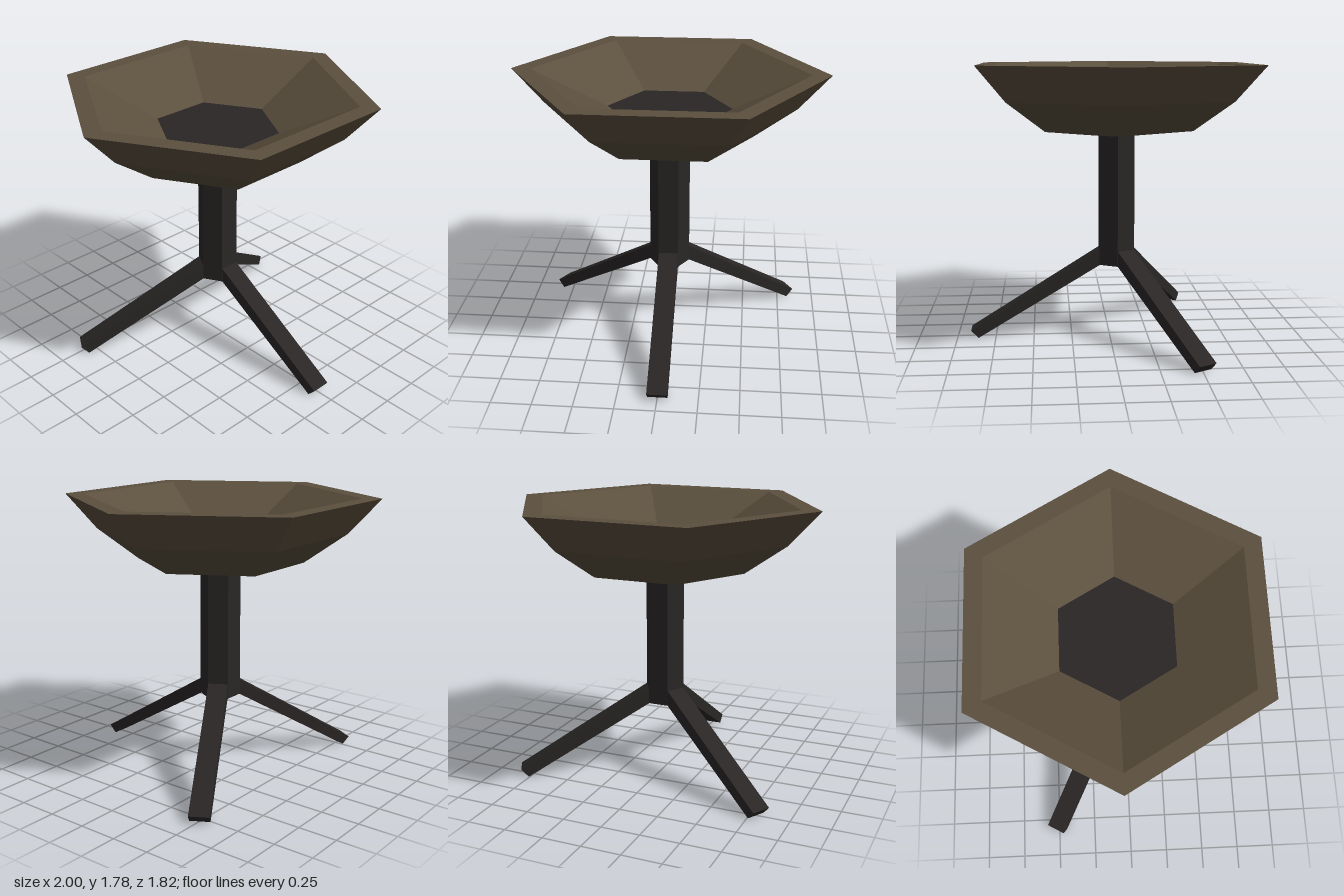
import * as THREE from 'three';

const brown = new THREE.MeshStandardMaterial({ color: 0x5c503e, flatShading: true });
const dark = new THREE.MeshStandardMaterial({ color: 0x2a2626, flatShading: true });

// Six-sided solid of revolution with corners on +x and -x, profile as [radius, height]
function hexLathe(name, profile, material) {
  const points = profile.map(([r, y]) => new THREE.Vector2(r, y));
  const geometry = new THREE.LatheGeometry(points, 6, Math.PI / 2).toNonIndexed();
  geometry.computeVertexNormals();
  const mesh = new THREE.Mesh(geometry, material);
  mesh.name = name;
  return mesh;
}

export function createModel() {
  const model = new THREE.Group();
  model.name = 'fireBowlOnTripod';

  // Bowl: faceted outside, flat lip, sloping inner wall
  model.add(hexLathe('bowl', [
    [0, 1.325], [0.13, 1.325], [0.53, 1.37], [0.8, 1.56],
    [1, 1.78], [0.877, 1.78], [0.395, 1.55],
  ], brown));

  // Dark floor inside the bowl
  const floor = new THREE.Mesh(new THREE.CircleGeometry(0.395, 6), dark);
  floor.name = 'bowlFloor';
  floor.rotation.x = -Math.PI / 2;
  floor.position.y = 1.55;
  model.add(floor);

  // Central post
  model.add(hexLathe('post', [[0, 0.48], [0.13, 0.48], [0.13, 1.33]], dark));

  // Three splayed legs, each leaving one face of the post
  const width = 0.126;
  const side = new THREE.Shape([
    [0.11, 0.48], [0.91, 0], [0.957, 0.05], [0.11, 0.58],
  ].map(([x, y]) => new THREE.Vector2(x, y)));
  const legGeometry = new THREE.ExtrudeGeometry(side, { depth: width, bevelEnabled: false });
  legGeometry.translate(0, 0, -width / 2);
  ['frontLeg', 'backLeftLeg', 'backRightLeg'].forEach((name, i) => {
    const leg = new THREE.Mesh(legGeometry, dark);
    leg.name = name;
    leg.rotation.y = -Math.PI / 2 + i * Math.PI * 2 / 3;
    model.add(leg);
  });

  // Balance the front leg against the back of the bowl
  for (const part of model.children) part.position.z = -0.047;
  return model;
}
